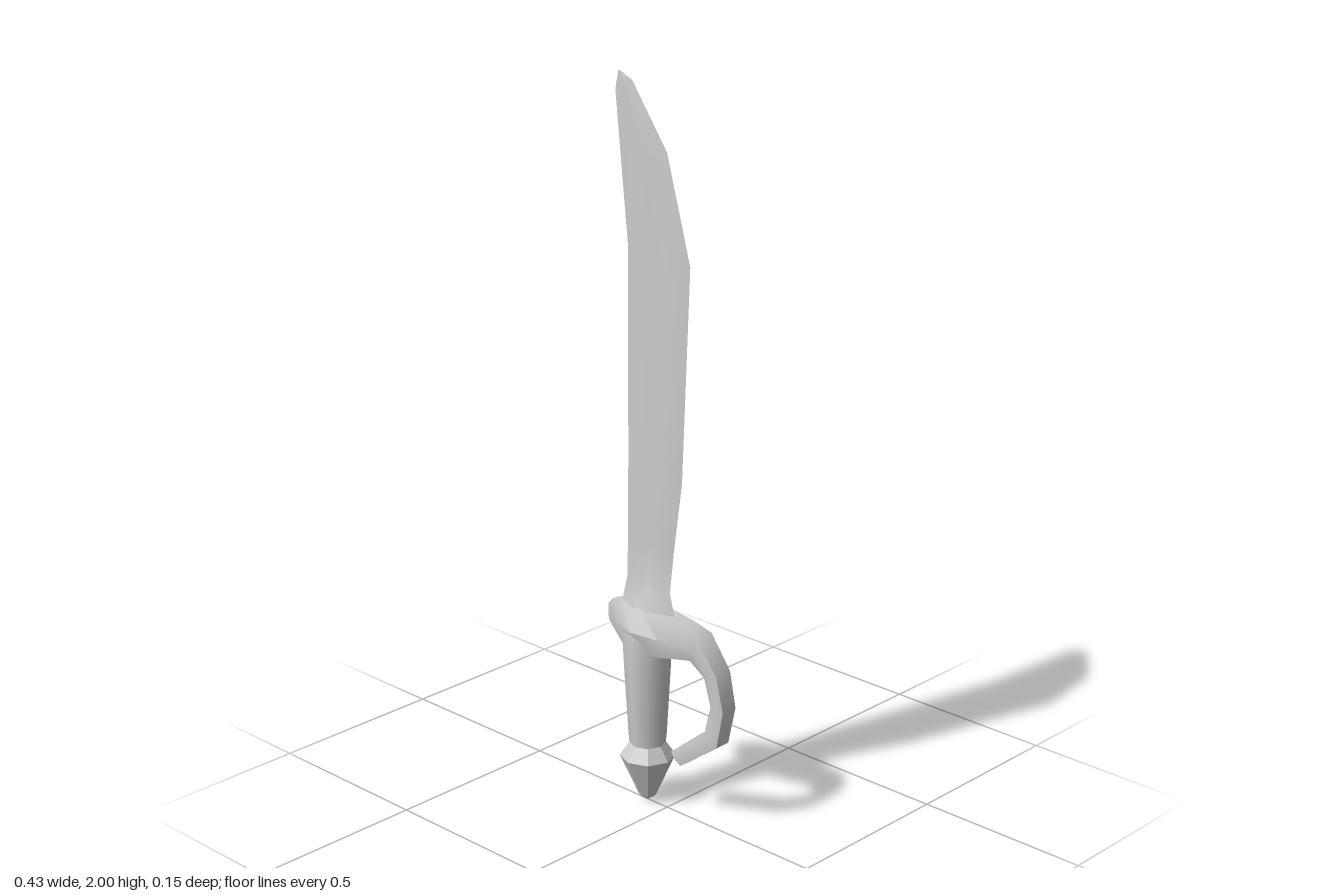
import * as THREE from 'three';
import { toCreasedNormals } from 'three/addons/utils/BufferGeometryUtils.js';

const grey = new THREE.MeshStandardMaterial({ color: 0xcccccc });
const AXIS = -0.073; // x of the grip's centre line

// Skins a list of equal-sized rings of [x, y, z] and closes both ends
function loft(rings, crease) {
  const n = rings[0].length, index = [];
  for (let r = 0; r < rings.length - 1; r++) {
    for (let i = 0; i < n; i++) {
      const a = r * n + i, b = r * n + (i + 1) % n;
      index.push(a, b, b + n, a, b + n, a + n);
    }
  }
  const last = (rings.length - 1) * n;
  for (let i = 1; i < n - 1; i++) {
    index.push(0, i + 1, i, last, last + i, last + i + 1);
  }
  const geo = new THREE.BufferGeometry();
  geo.setAttribute('position', new THREE.Float32BufferAttribute(rings.flat(2), 3));
  geo.setIndex(index);
  return toCreasedNormals(geo, crease);
}

function addMesh(group, name, geo) {
  const mesh = new THREE.Mesh(geo, grey);
  mesh.name = name;
  group.add(mesh);
  return mesh;
}

// Eight-sided turned part around the grip axis
function turned(profile, crease) {
  const points = profile.map(([r, y]) => new THREE.Vector2(r, y));
  const geo = toCreasedNormals(new THREE.LatheGeometry(points, 8), crease);
  return geo.translate(AXIS, 0, 0);
}

export function createModel() {
  const sword = new THREE.Group();
  sword.name = 'cutlass';

  // Blade rows: back x, back y, edge x, edge y, half thickness
  const bladeRows = [
    [-0.165, 0.55, 0.03, 0.55, 0.036],
    [-0.162, 0.58, 0.024, 0.58, 0.03],
    [-0.146, 0.64, 0.01, 0.63, 0.013],
    [-0.144, 0.76, 0.024, 0.75, 0.012],
    [-0.141, 0.97, 0.053, 0.95, 0.012],
    [-0.138, 1.55, 0.08, 1.535, 0.01],
    [-0.16, 1.76, 0.0, 1.815, 0.007],
    [-0.18, 1.95, -0.12, 1.98, 0.003],
    [-0.168, 2.0, -0.16, 1.998, 0.001],
  ];
  const blade = bladeRows.map(([x0, y0, x1, y1, t], row) => {
    const at = (f, z) => [x0 + (x1 - x0) * f, y0 + (y1 - y0) * f, z];
    const groove = row < 2 ? t : t * 0.65; // shallow fuller between two ridges
    return [
      at(1, 0), at(0.64, -t), at(0.5, -groove), at(0.34, -t),
      at(0, 0), at(0.34, t), at(0.5, groove), at(0.64, t),
    ];
  });
  addMesh(sword, 'blade', loft(blade, 0.5));

  // Guard and knuckle bow: outer x, y, inner x, y, half width, z centre, outer face ratio
  const guardRows = [
    [-0.215, 0.54, -0.215, 0.495, 0.004, 0, 0.8],
    [-0.195, 0.56, -0.19, 0.483, 0.018, 0, 0.6],
    [-0.155, 0.572, -0.135, 0.455, 0.042, 0, 0.5],
    [AXIS, 0.574, AXIS, 0.455, 0.065, 0, 0.5],
    [0.025, 0.57, 0.0, 0.455, 0.049, 0, 0.55],
    [0.075, 0.562, 0.05, 0.466, 0.044, 0, 0.65],
    [0.13, 0.545, 0.105, 0.475, 0.037, -0.003, 0.8],
    [0.195, 0.455, 0.15, 0.437, 0.032, -0.007, 0.85],
    [0.215, 0.355, 0.168, 0.357, 0.029, -0.01, 0.85],
    [0.19, 0.245, 0.145, 0.278, 0.027, -0.012, 0.85],
    [0.055, 0.145, 0.018, 0.175, 0.024, -0.014, 0.85],
  ];
  const guard = guardRows.map(([ox, oy, ix, iy, w, zc, k]) => {
    const at = (f, z) => [ix + (ox - ix) * f, iy + (oy - iy) * f, zc + z];
    return [
      at(0, -w * 0.75), at(0.5, -w), at(1, -w * k),
      at(1, w * k), at(0.5, w), at(0, w * 0.75),
    ];
  });
  addMesh(sword, 'guardAndKnuckleBow', loft(guard, 0.7));

  // Grip, widest just below the guard
  addMesh(sword, 'grip', turned([
    [0.048, 0.16], [0.052, 0.2], [0.062, 0.38], [0.066, 0.46], [0.062, 0.52],
  ], 0.9));

  // Faceted pommel
  addMesh(sword, 'pommel', turned([
    [0, 0.0], [0.024, 0.016], [0.076, 0.135], [0.046, 0.178], [0, 0.178],
  ], 0.3));

  return sword;
}
